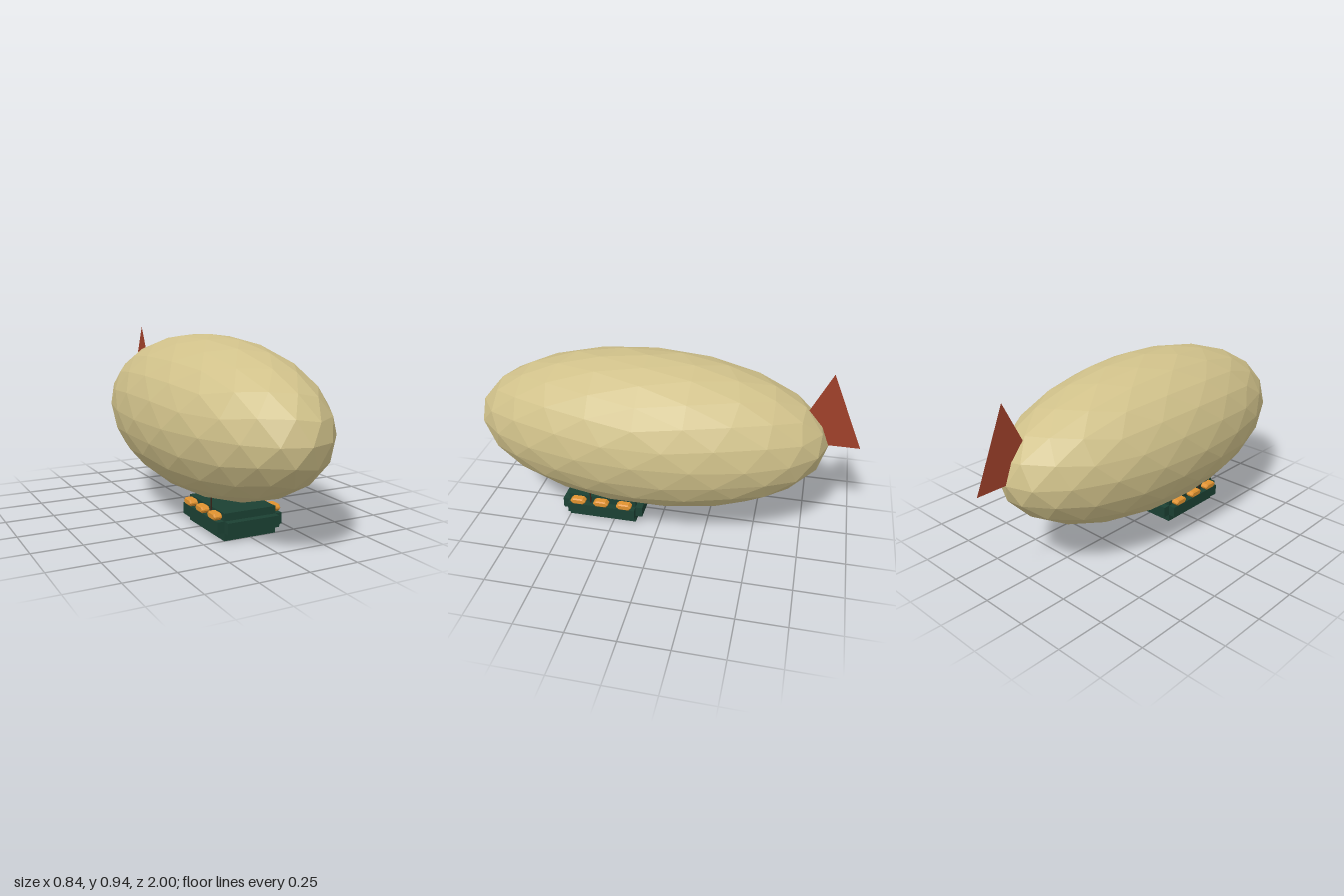
import * as THREE from 'three';

const paint = (color, extra = {}) =>
  new THREE.MeshStandardMaterial({ color, flatShading: true, ...extra });

// Icosphere standing on a vertex, subdivided twice
function icosphere() {
  const verts = [0, 1, 0], faces = [];
  const h = Math.sqrt(0.2), r = 2 * h;
  for (let i = 0; i < 5; i++) {
    const a = (i * 2 * Math.PI) / 5, b = a + Math.PI / 5;
    verts.push(r * Math.cos(a), h, r * Math.sin(a), r * Math.cos(b), -h, r * Math.sin(b));
  }
  verts.push(0, -1, 0);
  for (let i = 0; i < 5; i++) {
    const u = 1 + 2 * i, l = u + 1, un = 1 + 2 * ((i + 1) % 5), ln = un + 1;
    faces.push(0, un, u, u, un, l, l, un, ln, l, ln, 11);
  }
  let geo = new THREE.PolyhedronGeometry(verts, faces, 1, 1);
  const p = Array.from(geo.attributes.position.array);
  geo = new THREE.PolyhedronGeometry(p, [...Array(p.length / 3).keys()], 1, 1);
  return geo;
}

// Small pad with chamfered ends, its thickness along x
function padGeometry(length, height, thick) {
  const c = 0.01, b = 0.006, l = length / 2 - b, h = height / 2 - b;
  const shape = new THREE.Shape([
    [-l, -h + c], [-l + c, -h], [l - c, -h], [l, -h + c],
    [l, h - c], [l - c, h], [-l + c, h], [-l, h - c],
  ].map(([x, y]) => new THREE.Vector2(x, y)));
  const geo = new THREE.ExtrudeGeometry(shape, {
    depth: thick - 2 * b, bevelEnabled: true, bevelSize: b, bevelThickness: b, bevelSegments: 1,
  });
  return geo.center().rotateY(Math.PI / 2);
}

export function createModel() {
  const model = new THREE.Group();
  model.name = 'airship';
  const add = (name, geo, mat, x, y, z, parent = model) => {
    const mesh = new THREE.Mesh(geo, mat);
    mesh.name = name;
    mesh.position.set(x, y, z);
    parent.add(mesh);
    return mesh;
  };

  // Gas envelope
  add('envelope', icosphere().scale(0.421, 0.408, 0.922), paint(0xd0c18a), 0, 0.537, 0.078);

  // Flat tail fin
  const fin = new THREE.Shape([
    new THREE.Vector2(0.64, 0.54), new THREE.Vector2(1, 0.54), new THREE.Vector2(0.833, 0.935),
  ]);
  add('tailFin', new THREE.ShapeGeometry(fin).rotateY(Math.PI / 2),
    paint(0xa0402a, { side: THREE.DoubleSide }), 0, 0, 0);

  // Gondola: central hull with a ledge pushed out of each side
  const gondola = new THREE.Group();
  gondola.name = 'gondola';
  gondola.position.z = 0.315;
  model.add(gondola);
  const green = paint(0x1b4033);
  add('hull', new THREE.BoxGeometry(0.282, 0.135, 0.372), green, 0, 0.0675, 0, gondola);
  const sideLedge = new THREE.BoxGeometry(0.037, 0.057, 0.372);
  const endLedge = new THREE.BoxGeometry(0.282, 0.057, 0.037);
  const pad = padGeometry(0.082, 0.034, 0.044);
  const rod = new THREE.CylinderGeometry(0.004, 0.004, 0.085, 8);
  const orange = paint(0xe0922f), brown = paint(0x3a2418);
  for (const s of [1, -1]) {
    add('sideLedge', sideLedge, green, s * 0.1595, 0.0685, 0, gondola);
    add('endLedge', endLedge, green, 0, 0.0685, s * 0.2045, gondola);
    // Fenders and hanging rod along each side
    for (const z of [0.128, 0, -0.128])
      add('fender', pad, orange, s * 0.162, 0.115, z, gondola);
    add('hangingRod', rod, brown, s * 0.147, 0.139, 0.064, gondola);
  }
  return model;
}
